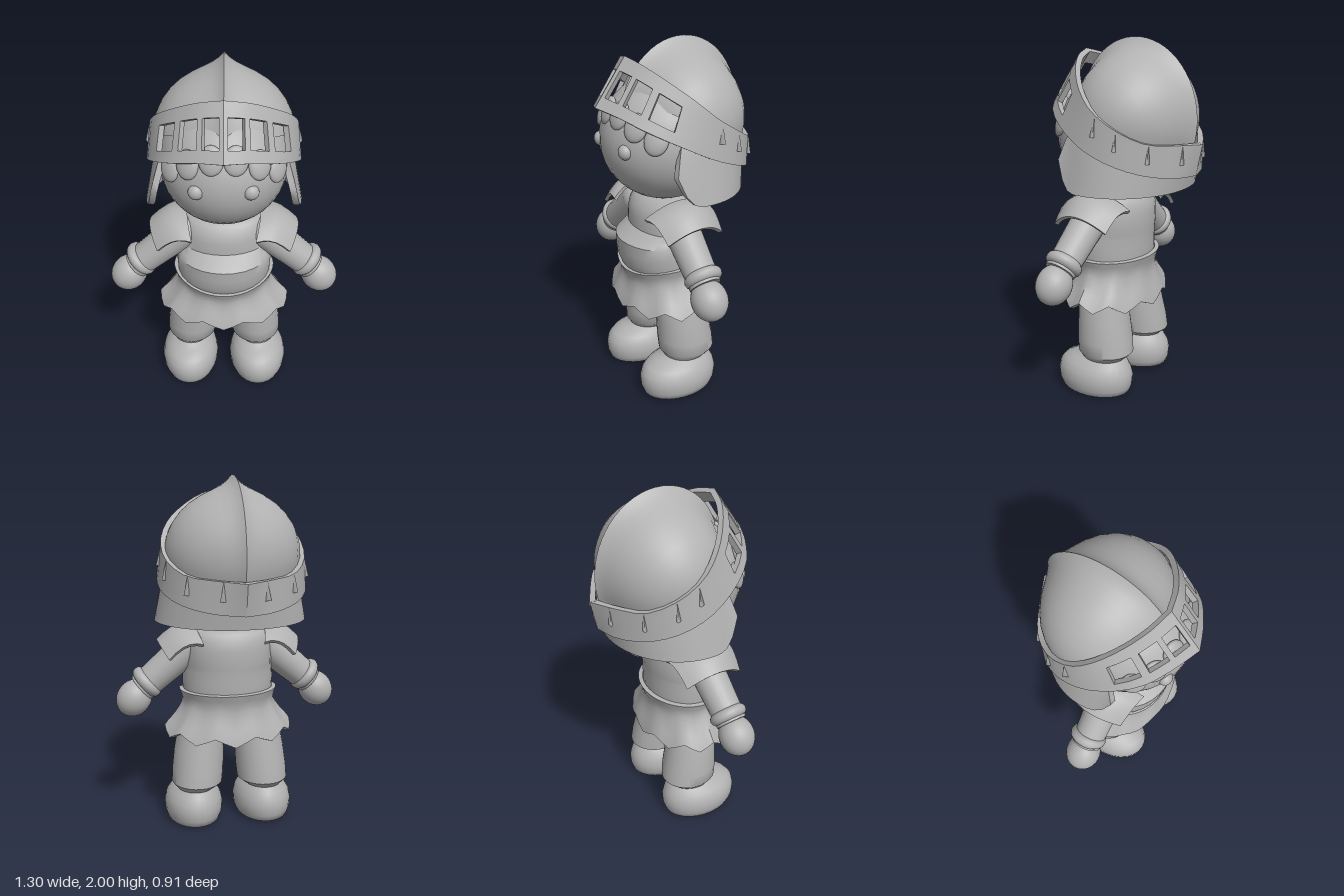
import * as THREE from 'three';
import { toCreasedNormals } from 'three/addons/utils/BufferGeometryUtils.js';

const V = (x, y, z) => new THREE.Vector3(x, y, z);
const steps = (a, b, n) => Array.from({ length: n + 1 }, (_, i) => a + (b - a) * i / n);

// Surface P(u, v) over a grid; thickness t adds an inner skin and rim walls, hole(u, v) cuts cells
function sheet(P, us, vs, t = 0, hole = () => false, crease = 0.75) {
  const pos = [];
  const tri = (a, b, c) => {
    const area = b.clone().sub(a).cross(c.clone().sub(a)).length();
    if (area > 1e-8) for (const p of [a, b, c]) pos.push(p.x, p.y, p.z);
  };
  const quad = (a, b, c, d) => { tri(a, b, c); tri(a, c, d); };
  const nu = us.length - 1, nv = vs.length - 1, e = 1e-3;
  const outer = us.map(u => vs.map(v => P(u, v)));
  const offset = (u, v) => {
    const u0 = Math.max(us[0], u - e), u1 = Math.min(us[nu], u + e);
    const v0 = Math.max(vs[0], v - e), v1 = Math.min(vs[nv], v + e);
    const n = P(u1, v).sub(P(u0, v)).cross(P(u, v1).sub(P(u, v0))).normalize();
    return P(u, v).addScaledVector(n, -t);
  };
  const inner = t ? us.map(u => vs.map(v => offset(u, v))) : [];
  const filled = (i, j) => i >= 0 && j >= 0 && i < nu && j < nv &&
    !hole((us[i] + us[i + 1]) / 2, (vs[j] + vs[j + 1]) / 2);
  for (let i = 0; i < nu; i++) for (let j = 0; j < nv; j++) {
    if (!filled(i, j)) continue;
    const c = [[i, j], [i + 1, j], [i + 1, j + 1], [i, j + 1]];
    const o = c.map(([a, b]) => outer[a][b]);
    quad(...o);
    if (!t) continue;
    const n = c.map(([a, b]) => inner[a][b]);
    quad(n[3], n[2], n[1], n[0]);
    [[0, -1], [1, 0], [0, 1], [-1, 0]].forEach(([di, dj], k) => {
      const m = (k + 1) % 4;
      if (!filled(i + di, j + dj)) quad(n[k], n[m], o[m], o[k]);
    });
  }
  const g = new THREE.BufferGeometry();
  g.setAttribute('position', new THREE.Float32BufferAttribute(pos, 3));
  return toCreasedNormals(g, crease);
}

// Stack of ellipses from the bottom up, each [y, rx, rz, cx, cz]
function loft(rings) {
  const P = (u, v) => {
    const [y, rx, rz, cx, cz] = rings[v];
    return V(cx + rx * Math.sin(u), y, cz + rz * Math.cos(u));
  };
  return sheet(P, steps(0, Math.PI * 2, 28), rings.map((_, i) => i));
}

export function createModel() {
  const model = new THREE.Group();
  const grey = new THREE.MeshStandardMaterial({ color: 0xb2b2b2, side: THREE.DoubleSide });
  grey.name = 'grey';
  const add = (name, geo, x = 0, y = 0, z = 0) => {
    const m = new THREE.Mesh(geo, grey);
    m.name = name;
    m.position.set(x, y, z);
    model.add(m);
    return m;
  };
  const ball = (name, x, y, z, rx, ry, rz) => {
    const m = add(name, new THREE.SphereGeometry(1, 28, 18), x, y, z);
    m.scale.set(rx, ry, rz);
    return m;
  };

  // Head, eyes and scalloped fringe
  ball('head', 0, 1.48, 0.05, 0.34, 0.34, 0.355);
  const faceZ = (x, y) => 0.05 + 0.355 * Math.sqrt(1 - (x / 0.34) ** 2 - ((y - 1.48) / 0.34) ** 2);
  for (const s of [1, -1]) {
    ball('eye', s * 0.135, 1.48, 0.365, 0.04, 0.04, 0.035);
    for (const [x, y] of [[0.06, 1.65], [0.175, 1.61], [0.265, 1.555]]) {
      const lock = ball('hairLock', s * x, y, faceZ(x, y), 0.062, 0.075, 0.028);
      lock.rotation.set(-0.4, s * x * 3, 0);
    }
  }

  // Helmet dome with a raised centre ridge
  const dome = (u, v) => {
    const ridge = Math.exp(-Math.abs(v) / 0.14);
    return V(-0.37 * Math.sin(v),
      1.58 + (0.35 + 0.07 * ridge) * Math.cos(v) * Math.sin(u),
      -0.05 + (0.33 + 0.04 * ridge) * Math.cos(v) * Math.cos(u));
  };
  const half = [0.04, 0.09, 0.16, 0.28, 0.45, 0.65, 0.85, 1.05, 1.25, 1.42, Math.PI / 2];
  const lats = [...half.map(a => -a).reverse(), 0, ...half];
  add('helmetDome', sheet(dome, steps(0.4, 3.5, 28), lats));

  // Tilted visor band with six windows
  const lower = new THREE.CatmullRomCurve3([
    V(0, 1.69, 0.455), V(0.13, 1.665, 0.4), V(0.27, 1.61, 0.31), V(0.37, 1.53, 0.16), V(0.41, 1.45, 0),
    V(0.39, 1.39, -0.15), V(0.3, 1.34, -0.28), V(0.15, 1.31, -0.38), V(0, 1.3, -0.42)]);
  const upper = new THREE.CatmullRomCurve3([
    V(0, 1.93, 0.28), V(0.12, 1.9, 0.245), V(0.24, 1.835, 0.175), V(0.34, 1.75, 0.08), V(0.385, 1.66, -0.02),
    V(0.375, 1.57, -0.16), V(0.29, 1.5, -0.29), V(0.14, 1.48, -0.385), V(0, 1.47, -0.455)]);
  const windows = [[0.02, 0.1], [0.125, 0.205], [0.235, 0.33]];
  const band = (u, v) => {
    const p = lower.getPoint(Math.abs(u)).lerp(upper.getPoint(Math.abs(u)), v);
    p.x *= Math.sign(u);
    return p;
  };
  const side = [...windows.flatMap(([a, b]) => [a, (a + b) / 2, b]), ...steps(0.375, 1, 12)];
  const isWindow = (u, v) => v > 0.22 && v < 0.74 &&
    windows.some(([a, b]) => Math.abs(u) > a && Math.abs(u) < b);
  add('visorBand', sheet(band, [...side.map(a => -a).reverse(), 0, ...side],
    [0, 0.22, 0.74, 1], 0.03, isWindow, 0.5));

  // Small pointed ridges along the rear of the band
  for (const s of [1, -1]) for (const a of [0.53, 0.63, 0.76, 0.9]) {
    const p = band(s * a, 0.7), up = band(s * a, 1).sub(band(s * a, 0)).normalize();
    const spike = add('bandSpike', new THREE.ConeGeometry(0.018, 0.1, 3), p.x, p.y, p.z);
    spike.quaternion.setFromUnitVectors(V(0, 1, 0), up);
  }

  // Flared cheek and neck guard, open at the face
  const guard = (u, v) => {
    const rx = 0.425 - 0.055 * v, c = Math.cos(u);
    const z = 0.02 - 0.04 * v + (0.38 - 0.02 * v) * c;
    const edge = Math.max(0, c - 0.1) / 0.37;
    const bottom = 1.22 + 0.16 * edge ** 3;
    return V(rx * Math.sin(u), bottom + (1.49 + 0.35 * z - bottom) * v, z);
  };
  add('neckGuard', sheet(guard, steps(1.08, Math.PI * 2 - 1.08, 36), steps(0, 1, 4), 0.035));

  // Torso: belly plate, chest and neckline
  add('torso', loft([
    [0.6, 0, 0, 0, 0.08], [0.6, 0.2, 0.16, 0, 0.08], [0.7, 0.245, 0.19, 0, 0.085], [0.75, 0.256, 0.208, 0, 0.093],
    [0.8, 0.262, 0.22, 0, 0.1], [0.86, 0.265, 0.224, 0, 0.102], [0.92, 0.262, 0.226, 0, 0.103],
    [0.945, 0.255, 0.21, 0, 0.085], [0.98, 0.25, 0.185, 0, 0.058], [1.05, 0.245, 0.185, 0, 0.058],
    [1.1, 0.24, 0.175, 0, 0.055], [1.14, 0.228, 0.15, 0, 0.05], [1.16, 0.2, 0.12, 0, 0.05], [1.16, 0, 0, 0, 0.05]]));

  // Skirt with a zigzag hem and a waistline dipping at the front
  const skirtRadii = new THREE.SplineCurve(
    [[0.375, 0.255], [0.33, 0.235], [0.29, 0.215], [0.268, 0.21], [0.285, 0.232]]
      .map(([x, z]) => new THREE.Vector2(x, z)));
  const skirt = (u, v) => {
    const r = skirtRadii.getPoint(v), k = u / (Math.PI * 2) * 10 + 0.5;
    const zig = Math.abs((k - Math.floor(k)) - 0.5) * 2;
    const hem = 0.505 + 0.05 * zig + 0.03 * Math.sin(u) ** 2;
    const top = 0.8 - 0.055 * Math.max(0, Math.cos(u)) ** 2;
    return V(r.x * Math.sin(u), hem + (top - hem) * v, 0.085 + r.y * Math.cos(u));
  };
  add('skirt', sheet(skirt, steps(0, Math.PI * 2, 40), steps(0, 1, 8), 0.025));

  for (const s of [1, -1]) {
    // Arm, cuff and hand
    const from = V(s * 0.22, 1.05, 0.095), to = V(s * 0.5, 0.81, 0.11);
    const dir = to.clone().sub(from), len = dir.length(), mid = from.clone().add(to).multiplyScalar(0.5);
    dir.normalize();
    const arm = add('arm', new THREE.CylinderGeometry(0.085, 0.1, len, 24), mid.x, mid.y, mid.z);
    arm.quaternion.setFromUnitVectors(V(0, 1, 0), dir);
    ball('shoulder', from.x, from.y, from.z, 0.1, 0.1, 0.1);
    const cuff = add('cuff', new THREE.TorusGeometry(0.07, 0.034, 12, 28), s * 0.47, 0.845, 0.105);
    cuff.quaternion.setFromUnitVectors(V(0, 0, 1), dir);
    const hand = ball('hand', s * 0.545, 0.75, 0.115, 0.1, 0.112, 0.098);
    hand.rotation.z = s * 0.6;

    // Shoulder plate arched over the arm
    const plate = (u, v) => V(s * (0.2 - 0.03 * u * u + (0.21 - 0.02 * u * u) * v),
      1.18 - 0.08 * u * u - 0.085 * v * v + 0.015 * Math.sin(Math.PI * v),
      0.08 + s * u * (0.2 - 0.03 * v));
    add('shoulderPlate', sheet(plate, steps(-1, 1, 12), steps(0, 1, 5), 0.022));

    // Trouser leg, ankle and rounded foot
    add('leg', loft([
      [0.215, 0, 0, s * 0.205, 0.04], [0.215, 0.11, 0.13, s * 0.205, 0.04], [0.235, 0.13, 0.145, s * 0.2, 0.033],
      [0.255, 0.148, 0.163, s * 0.196, 0.03], [0.33, 0.15, 0.162, s * 0.19, 0.037], [0.45, 0.145, 0.15, s * 0.18, 0.05],
      [0.58, 0.135, 0.145, s * 0.165, 0.06], [0.66, 0.12, 0.13, s * 0.16, 0.06], [0.66, 0, 0, s * 0.16, 0.06]]));
    add('foot', loft([
      [0, 0, 0, s * 0.21, 0.095], [0, 0.13, 0.19, s * 0.21, 0.095], [0.015, 0.155, 0.217, s * 0.21, 0.095],
      [0.05, 0.168, 0.23, s * 0.21, 0.095], [0.1, 0.172, 0.235, s * 0.21, 0.095], [0.145, 0.162, 0.225, s * 0.21, 0.095],
      [0.18, 0.142, 0.2, s * 0.208, 0.09], [0.205, 0.115, 0.16, s * 0.206, 0.07], [0.225, 0.09, 0.12, s * 0.205, 0.05],
      [0.26, 0.09, 0.1, s * 0.205, 0.04]]));
  }
  return model;
}
